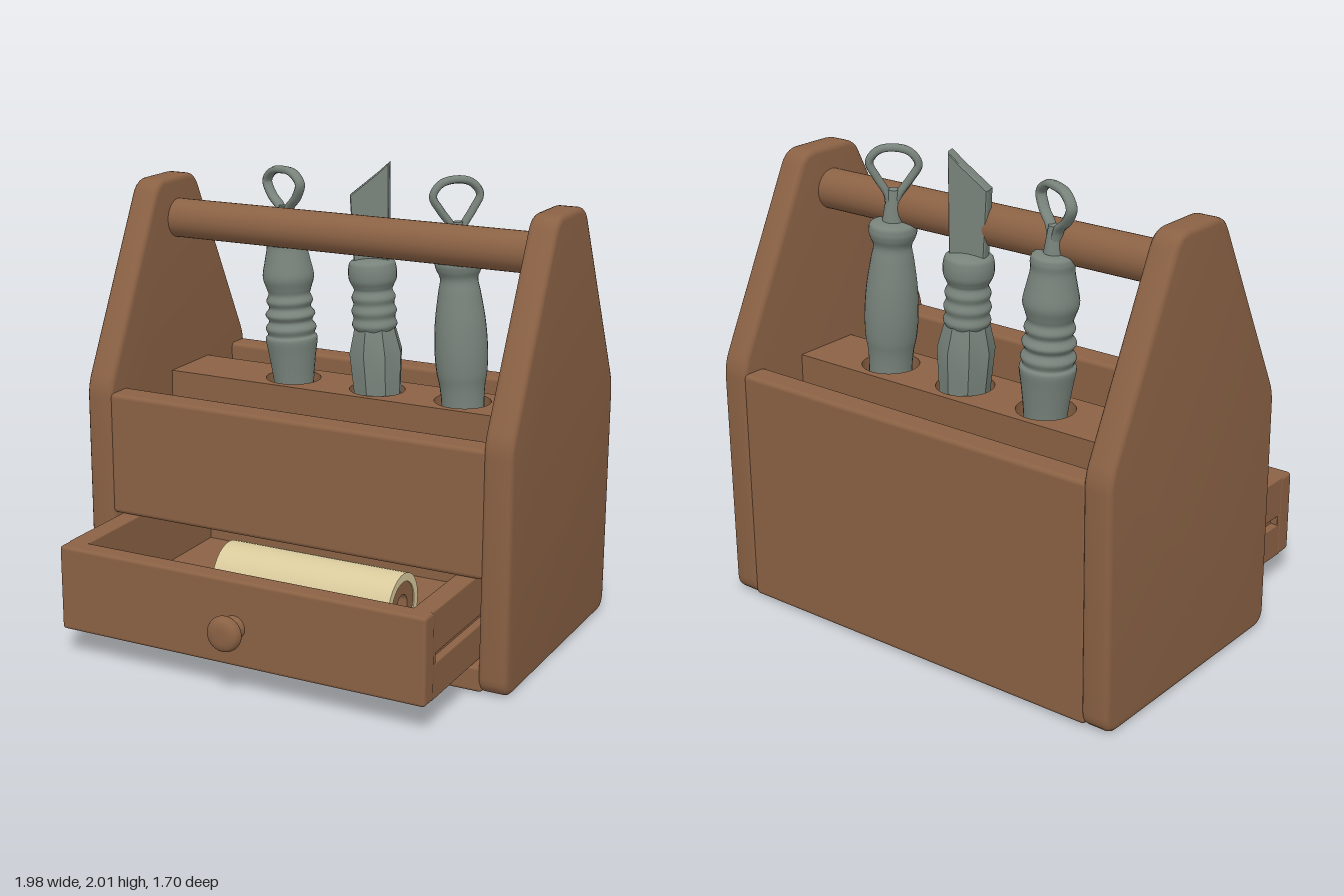
import * as THREE from 'three';
import { toCreasedNormals } from 'three/addons/utils/BufferGeometryUtils.js';
import { RoundedBoxGeometry } from 'three/addons/geometries/RoundedBoxGeometry.js';

const mat = (name, color) => Object.assign(new THREE.MeshStandardMaterial({ color }), { name });
const V2 = (p) => new THREE.Vector2(p[0], p[1]);

export function createModel() {
  const wood = mat('wood', 0x8a6144);
  const metal = mat('greyMetal', 0x78837b);
  const cream = mat('creamPaper', 0xd9ca9c);
  const model = new THREE.Group();
  model.name = 'toolCaddy';

  const add = (parent, name, geo, material) => {
    const m = new THREE.Mesh(geo, material);
    m.name = name;
    parent.add(m);
    return m;
  };
  // Rounded board given by its min and max on each axis
  const board = (parent, name, x0, x1, y0, y1, z0, z1, r = 0.015, material = wood) => {
    const m = add(parent, name, new RoundedBoxGeometry(x1 - x0, y1 - y0, z1 - z0, 2, r), material);
    m.position.set((x0 + x1) / 2, (y0 + y1) / 2, (z0 + z1) / 2);
    return m;
  };
  // Closed polygon with softened corners
  const softPolygon = (pts, r) => {
    const s = new THREE.Shape();
    const n = pts.length;
    pts.forEach((p, i) => {
      const c = V2(p), a = V2(pts[(i + n - 1) % n]), b = V2(pts[(i + 1) % n]);
      const start = c.clone().add(a.sub(c).setLength(r));
      const end = c.clone().add(b.sub(c).setLength(r));
      if (i === 0) s.moveTo(start.x, start.y); else s.lineTo(start.x, start.y);
      s.quadraticCurveTo(c.x, c.y, end.x, end.y);
    });
    s.closePath();
    return s;
  };
  const smoothLathe = (pts, sides = 28) =>
    new THREE.LatheGeometry(new THREE.SplineCurve(pts.map(V2)).getPoints(pts.length * 5), sides);

  // House-shaped side panels, drawn in (z, y)
  const bevel = 0.022;
  const outline = softPolygon([
    [-0.85 + bevel, bevel], [0.29 - bevel, bevel], [0.29 - bevel, 1.05],
    [-0.12 - bevel, 1.89 - bevel], [-0.44 + bevel, 1.89 - bevel], [-0.85 + bevel, 1.05],
  ], 0.05);
  const panel = toCreasedNormals(new THREE.ExtrudeGeometry(outline, {
    depth: 0.125 - 2 * bevel, bevelSize: bevel, bevelThickness: bevel, bevelSegments: 3, curveSegments: 5,
  }).rotateY(-Math.PI / 2).translate(0.0625 - bevel, 0, 0), 0.6);
  for (const [side, name] of [[1, 'leftPanel'], [-1, 'rightPanel']]) {
    add(model, name, panel, wood).position.x = side * 0.9275;
  }

  // Boards of the case
  board(model, 'frontBoard', -0.88, 0.88, 0.49, 1.03, 0.16, 0.285, 0.02);
  board(model, 'backBoard', -0.88, 0.88, 0.01, 1.03, -0.845, -0.73, 0.02);
  board(model, 'bottomBoard', -0.88, 0.88, 0.005, 0.115, -0.68, 0.28);
  board(model, 'bottomSlot', -0.87, 0.87, 0.03, 0.038, -0.74, -0.67, 0.002, metal);
  board(model, 'shelf', -0.88, 0.88, 0.5, 0.56, -0.74, 0.2);

  // Carrying rod
  const rod = add(model, 'carryRod', new THREE.CylinderGeometry(0.086, 0.086, 1.76, 32), wood);
  rod.rotation.z = Math.PI / 2;
  rod.position.set(0, 1.705, -0.28);

  // Tool rack with three round holes, drawn in (x, -z)
  const toolX = [-0.325, 0.09, 0.495], toolZ = -0.355;
  const rackShape = new THREE.Shape([[-0.88, 0.2], [0.88, 0.2], [0.88, 0.51], [-0.88, 0.51]].map(V2));
  for (const x of toolX) {
    rackShape.holes.push(new THREE.Path().absarc(x, -toolZ, 0.122, 0, Math.PI * 2, true));
  }
  const rack = new THREE.ExtrudeGeometry(rackShape, { depth: 0.47, bevelEnabled: false, curveSegments: 24 });
  add(model, 'toolRack', toCreasedNormals(rack.rotateX(-Math.PI / 2), 0.6), wood).position.y = 0.55;

  // Tools; heights are measured from the rack top, each leans slightly to the right
  const rackTop = 1.03;
  const tool = (name, x, profile, sides = 28) => {
    const g = new THREE.Group();
    g.name = name;
    g.position.set(x, rackTop, toolZ);
    g.rotation.z = 0.055;
    model.add(g);
    add(g, name + 'Handle', smoothLathe(profile, sides), metal);
    return g;
  };
  const wireLoop = (parent, pts, turn) => {
    const curve = new THREE.CatmullRomCurve3(pts.map((p) => new THREE.Vector3(p[0], p[1], 0)));
    const geo = new THREE.TubeGeometry(curve, 64, 0.017, 8).scale(1, 1, 1.5);
    add(parent, 'wireLoop', geo, metal).rotation.y = turn;
    add(parent, 'neck', new THREE.CylinderGeometry(0.025, 0.045, 0.14, 16), metal).position.y = 0.69;
  };

  const ribbed = tool('ribbedLoopTool', toolX[0], [
    [0, -0.4], [0.075, -0.4], [0.085, -0.1], [0.092, 0], [0.105, 0.1], [0.115, 0.17], [0.103, 0.19],
    [0.112, 0.22], [0.095, 0.25], [0.11, 0.28], [0.092, 0.31], [0.103, 0.34], [0.092, 0.37],
    [0.1, 0.4], [0.113, 0.45], [0.1, 0.52], [0.088, 0.58], [0.09, 0.62], [0.075, 0.645], [0, 0.65],
  ]);
  wireLoop(ribbed, [
    [-0.015, 0.7], [-0.03, 0.75], [-0.085, 0.8], [-0.115, 0.86], [-0.07, 0.905], [0, 0.915],
    [0.07, 0.905], [0.115, 0.86], [0.085, 0.8], [0.03, 0.75], [0.015, 0.7],
  ], -0.4);

  const knife = tool('knife', toolX[1], [
    [0.08, 0.2], [0.085, 0.25], [0.098, 0.28], [0.09, 0.31], [0.098, 0.34], [0.088, 0.37], [0.095, 0.4],
    [0.083, 0.43], [0.09, 0.45], [0.103, 0.48], [0.103, 0.53], [0.085, 0.56], [0, 0.575],
  ]);
  const grip = new THREE.LatheGeometry(
    [[0, -0.4], [0.09, -0.4], [0.108, 0], [0.12, 0.16], [0.09, 0.28], [0, 0.28]].map(V2), 8);
  add(knife, 'facetedGrip', toCreasedNormals(grip, 0.4), metal);
  const bladeShape = new THREE.Shape(
    [[-0.07, 0.5], [0.07, 0.5], [0.09, 0.97], [0.045, 0.93], [-0.075, 0.84]].map(V2));
  const blade = new THREE.ExtrudeGeometry(bladeShape, {
    depth: 0.03, bevelSize: 0.006, bevelThickness: 0.015, bevelSegments: 2,
  }).translate(0, 0, -0.015);
  add(knife, 'blade', blade, metal).rotation.y = 0.3;

  const plain = tool('plainLoopTool', toolX[2], [
    [0, -0.4], [0.08, -0.4], [0.092, 0], [0.108, 0.12], [0.113, 0.22], [0.107, 0.34], [0.09, 0.46],
    [0.08, 0.52], [0.095, 0.56], [0.1, 0.59], [0.085, 0.62], [0, 0.63],
  ]);
  wireLoop(plain, [
    [-0.015, 0.69], [-0.025, 0.74], [-0.07, 0.81], [-0.1, 0.87], [-0.065, 0.92], [0, 0.935],
    [0.065, 0.92], [0.1, 0.87], [0.07, 0.81], [0.025, 0.74], [0.015, 0.69],
  ], 0.65);

  // Open drawer with a runner groove in each side
  const drawer = new THREE.Group();
  drawer.name = 'drawer';
  model.add(drawer);
  board(drawer, 'drawerFront', -0.84, 0.84, 0.12, 0.49, 0.65, 0.74);
  board(drawer, 'drawerBack', -0.76, 0.76, 0.12, 0.485, -0.4, -0.32);
  board(drawer, 'drawerFloor', -0.8, 0.8, 0.122, 0.2, -0.38, 0.68);
  for (const s of [-1, 1]) {
    const wall = (name, a, b, y0, y1, z1, r) =>
      board(drawer, name, Math.min(s * a, s * b), Math.max(s * a, s * b), y0, y1, -0.4, z1, r);
    wall('drawerSideTop', 0.75, 0.838, 0.31, 0.49, 0.67, 0.006);
    wall('drawerSideBottom', 0.75, 0.838, 0.12, 0.27, 0.67, 0.006);
    wall('drawerSideGroove', 0.75, 0.805, 0.26, 0.32, 0.67, 0.003);
    board(drawer, 'grooveStop', Math.min(s * 0.75, s * 0.838), Math.max(s * 0.75, s * 0.838),
      0.26, 0.32, 0.64, 0.7, 0.003);
  }

  // Drawer knob
  const knob = add(drawer, 'knob', smoothLathe([
    [0.055, -0.01], [0.045, 0.015], [0.04, 0.035], [0.065, 0.055], [0.075, 0.075],
    [0.066, 0.1], [0.04, 0.112], [0, 0.114],
  ]), wood);
  knob.rotation.x = Math.PI / 2;
  knob.position.set(0, 0.29, 0.738);

  // Paper roll on a hollow wooden core
  const ring = (name, outer, inner, length, material) => {
    const h = length / 2;
    const geo = new THREE.LatheGeometry(
      [[inner, -h], [outer, -h], [outer, h], [inner, h], [inner, -h]].map(V2), 32);
    const m = add(drawer, name, toCreasedNormals(geo, 0.6), material);
    m.rotation.z = Math.PI / 2;
    m.position.set(0.155, 0.345, 0.35);
  };
  ring('paperRoll', 0.14, 0.105, 0.81, cream);
  ring('rollCore', 0.106, 0.05, 0.8, wood);

  return model;
}
